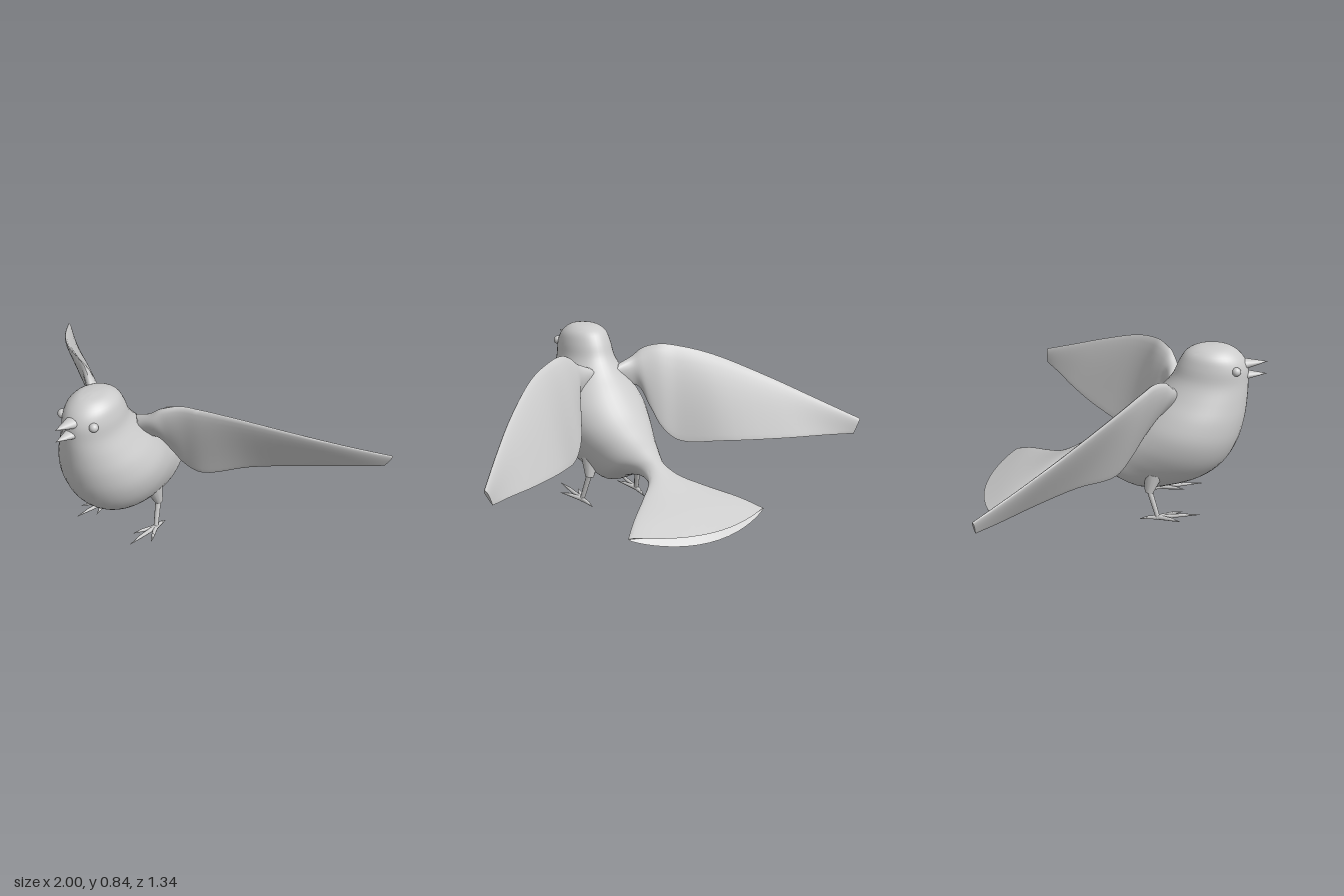
import * as THREE from 'three';
import { toCreasedNormals } from 'three/addons/utils/BufferGeometryUtils.js';

const material = new THREE.MeshStandardMaterial({ color: 0xcccccc, side: THREE.DoubleSide });
const V = (x, y, z) => new THREE.Vector3(x, y, z);
const curve = (pts) => new THREE.CatmullRomCurve3(pts);

function part(name, geometry) {
  const mesh = new THREE.Mesh(geometry, material);
  mesh.name = name;
  return mesh;
}

// Closed skin through rings point(u, angle), with a fan cap at each end
function loft(rows, sides, point, crease = 0.8) {
  const pos = [], index = [];
  for (let i = 0; i <= rows; i++) {
    for (let j = 0; j < sides; j++) pos.push(...point(i / rows, (j / sides) * Math.PI * 2).toArray());
  }
  for (let i = 0; i < rows; i++) {
    for (let j = 0; j < sides; j++) {
      const k = (j + 1) % sides, a = i * sides, b = a + sides;
      index.push(a + j, b + j, a + k, a + k, b + j, b + k);
    }
  }
  for (const end of [0, rows]) {
    const mid = V(0, 0, 0), a = end * sides, c = pos.length / 3;
    for (let j = 0; j < sides; j++) mid.add(V(0, 0, 0).fromArray(pos, (a + j) * 3));
    pos.push(...mid.divideScalar(sides).toArray());
    for (let j = 0; j < sides; j++) {
      const k = (j + 1) % sides;
      index.push(c, ...(end ? [a + k, a + j] : [a + j, a + k]));
    }
  }
  // Turn the faces outward by the sign of the enclosed volume
  const at = (i) => V(0, 0, 0).fromArray(pos, i * 3);
  let volume = 0;
  for (let i = 0; i < index.length; i += 3) {
    volume += at(index[i]).dot(at(index[i + 1]).cross(at(index[i + 2])));
  }
  if (volume < 0) index.reverse();
  const geo = new THREE.BufferGeometry();
  geo.setAttribute('position', new THREE.Float32BufferAttribute(pos, 3));
  geo.setIndex(index);
  return toCreasedNormals(geo, crease);
}

// Head, trunk and fanned tail: back z, y, front z, y, half width, end bow
function bodyGeometry() {
  const s = [
    [0.41, 0.85, 0.45, 0.85, 0.015, 0],
    [0.345, 0.842, 0.505, 0.838, 0.065, 0],
    [0.295, 0.815, 0.555, 0.8, 0.103, 0],
    [0.263, 0.765, 0.582, 0.75, 0.12, 0],
    [0.235, 0.70, 0.587, 0.68, 0.131, 0],
    [0.18, 0.63, 0.586, 0.6, 0.165, 0],
    [0.12, 0.57, 0.577, 0.5, 0.205, 0],
    [0.06, 0.51, 0.55, 0.39, 0.228, 0],
    [0.0, 0.455, 0.495, 0.285, 0.22, 0],
    [-0.06, 0.41, 0.40, 0.20, 0.192, 0],
    [-0.11, 0.375, 0.27, 0.145, 0.158, 0],
    [-0.16, 0.345, 0.12, 0.12, 0.125, 0],
    [-0.2, 0.32, -0.02, 0.18, 0.09, 0],
    [-0.24, 0.298, -0.15, 0.21, 0.062, 0],
    [-0.3, 0.265, -0.28, 0.2, 0.08, 0],
    [-0.41, 0.21, -0.4, 0.165, 0.17, 0.02],
    [-0.55, 0.148, -0.54, 0.105, 0.29, 0.05],
    [-0.67, 0.09, -0.655, 0.04, 0.368, 0.09],
  ];
  const back = curve(s.map((r) => V(r[4], r[1], r[0])));
  const front = curve(s.map((r) => V(r[5], r[3], r[2])));
  return loft(68, 40, (u, a) => {
    const b = back.getPoint(u), f = front.getPoint(u);
    const t = (1 + Math.cos(a)) / 2, side = Math.sin(a), bow = f.x * side * side;
    return V(b.x * side, b.y + (f.y - b.y) * t + bow * 0.45, b.z + (f.z - b.z) * t + bow);
  });
}

// Half-spread wing lofted from its leading edge to its trailing edge
function wingGeometry(side) {
  const lead = curve([
    V(0.09, 0.665, 0.24), V(0.16, 0.695, 0.235), V(0.21, 0.735, 0.215), V(0.28, 0.755, 0.17),
    V(0.36, 0.745, 0.125), V(0.5, 0.705, 0.03), V(0.7, 0.605, -0.16), V(0.86, 0.51, -0.34), V(1, 0.425, -0.51),
  ]);
  const trail = curve([
    V(0.09, 0.55, 0.23), V(0.165, 0.555, 0.19), V(0.195, 0.46, 0.12), V(0.23, 0.36, 0.06),
    V(0.29, 0.3, 0), V(0.45, 0.312, -0.16), V(0.68, 0.33, -0.325), V(0.85, 0.345, -0.43), V(0.965, 0.355, -0.508),
  ]);
  return loft(40, 24, (u, a) => {
    const c = (1 - Math.cos(a)) / 2;
    const thick = Math.sin(a) * (1.25 - c) * (0.042 - 0.034 * u);
    const p = lead.getPoint(u).lerp(trail.getPoint(u), c);
    return V((p.x + thick * 0.68) * side, p.y, p.z + thick * 0.73);
  }, 0.9);
}

// Tapered round limb between two points
function limb(name, from, to, r0, r1, sides = 10) {
  const d = to.clone().sub(from);
  const mesh = part(name, new THREE.CylinderGeometry(r1, r0, d.length(), sides));
  mesh.position.copy(from).addScaledVector(d, 0.5);
  mesh.quaternion.setFromUnitVectors(V(0, 1, 0), d.normalize());
  return mesh;
}

function leg(side) {
  const g = new THREE.Group();
  const P = (x, y, z) => V(x * side, y, z);
  const ankle = P(0.158, 0.024, 0.185);
  g.add(limb('thigh', P(0.122, 0.235, 0.16), P(0.141, 0.145, 0.14), 0.045, 0.02, 14));
  g.add(limb('shank', P(0.139, 0.165, 0.14), ankle, 0.014, 0.011));
  // Three toes forward and one back, each ending in a claw
  for (const [x, y, z] of [[0.115, 0.036, 0.3], [0.165, 0.051, 0.385], [0.218, 0.036, 0.295], [0.15, 0.007, 0.1]]) {
    const tip = P(x, y, z), joint = ankle.clone().lerp(tip, 0.6).add(V(0, 0.003, 0));
    g.add(limb('toe', ankle, joint, 0.012, 0.008, 8), limb('claw', joint, tip, 0.008, 0.001, 8));
  }
  const ball = part('ankle', new THREE.SphereGeometry(0.013, 12, 8));
  ball.position.copy(ankle);
  g.add(ball);
  return g;
}

// Half of the open beak: a flattened cone leaning to its tip
function beakHalf(name, baseY, tipY, height) {
  const geo = new THREE.ConeGeometry(1, 1, 20, 4).rotateX(Math.PI / 2).translate(0, 0, 0.5);
  const p = geo.attributes.position;
  for (let i = 0; i < p.count; i++) {
    const t = p.getZ(i);
    p.setXYZ(i, p.getX(i) * 0.042, baseY + (tipY - baseY) * t + p.getY(i) * height, 0.545 + 0.127 * t);
  }
  geo.computeVertexNormals();
  return part(name, geo);
}

export function createModel() {
  const bird = new THREE.Group();
  bird.name = 'bird';
  bird.add(part('body', bodyGeometry()));
  bird.add(beakHalf('upperBeak', 0.757, 0.776, 0.03), beakHalf('lowerBeak', 0.704, 0.717, 0.027));
  for (const [side, label] of [[1, 'left'], [-1, 'right']]) {
    bird.add(part(label + 'Wing', wingGeometry(side)));
    const eye = part(label + 'Eye', new THREE.SphereGeometry(0.021, 20, 14));
    eye.position.set(0.09 * side, 0.753, 0.528);
    const l = leg(side);
    l.name = label + 'Leg';
    bird.add(eye, l);
  }
  return bird;
}
